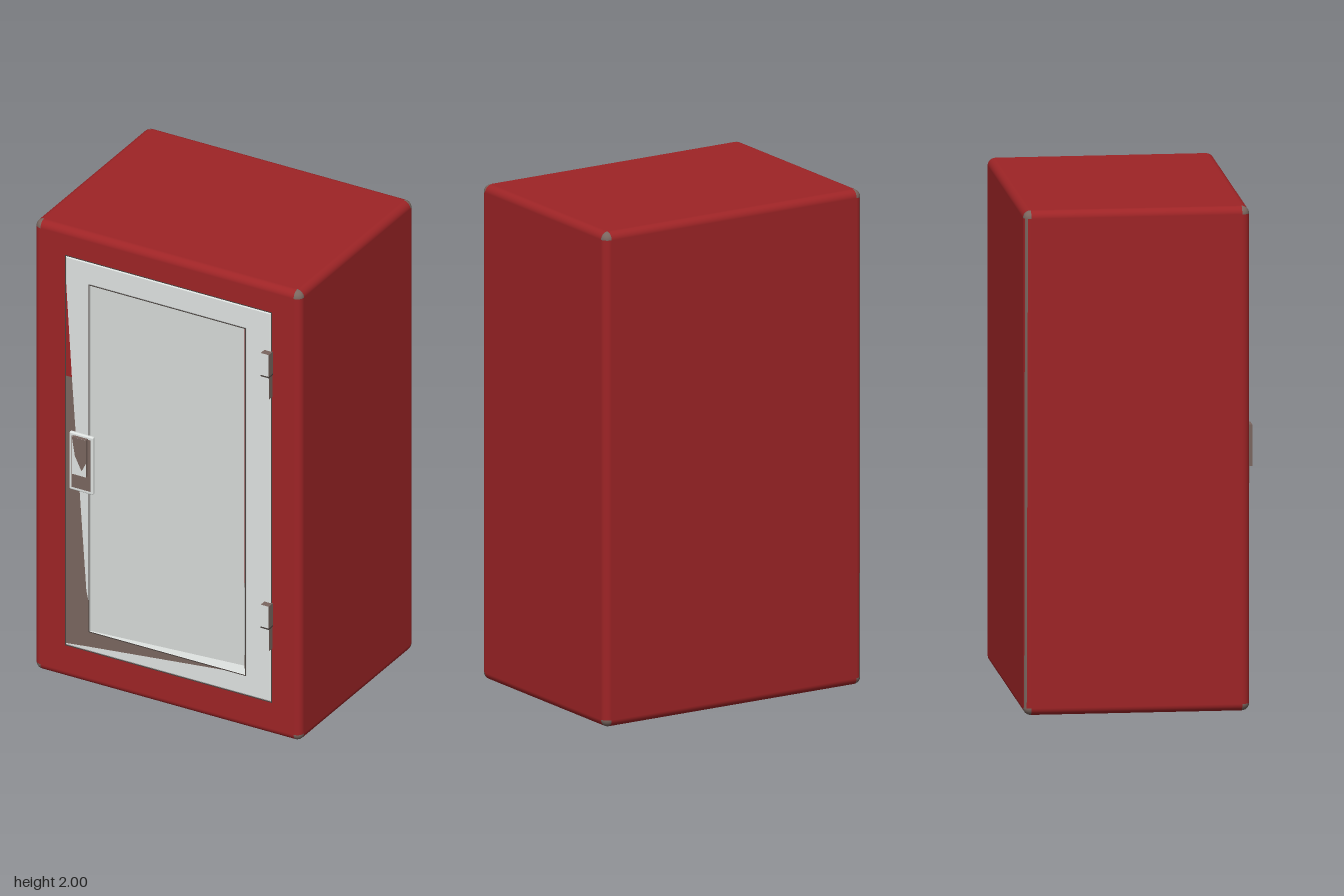
import * as THREE from 'three';
import { RoundedBoxGeometry } from 'three/addons/geometries/RoundedBoxGeometry.js';

const mat = (name, color, side = THREE.FrontSide) => {
  const m = new THREE.MeshStandardMaterial({ color, side });
  m.name = name;
  return m;
};

export function createModel() {
  const red = mat('red paint', 0x9e2426);
  const pale = mat('pale grey metal', 0xe0e4e2);
  const paneGrey = mat('pane grey', 0xd6dad7);
  const brown = mat('worn brown metal', 0x7a665f);
  const dark = mat('dark trim', 0x4a423f);

  const root = new THREE.Group();
  root.name = 'cabinet';
  const add = (name, geo, material, x = 0, y = 0, z = 0, parent = root) => {
    const m = new THREE.Mesh(geo, material);
    m.name = name;
    m.position.set(x, y, z);
    parent.add(m);
    return m;
  };
  const rectPath = (P, x0, y0, x1, y1) => {
    const p = new P();
    p.moveTo(x0, y0).lineTo(x1, y0).lineTo(x1, y1).lineTo(x0, y1).closePath();
    return p;
  };
  const polygon = pts => new THREE.ShapeGeometry(new THREE.Shape(pts.map(p => new THREE.Vector2(...p))));
  // Flat four-cornered face, corners counter-clockwise
  const quad = (a, b, c, d) => {
    const g = new THREE.BufferGeometry();
    g.setAttribute('position', new THREE.Float32BufferAttribute([...a, ...b, ...c, ...a, ...c, ...d], 3));
    g.computeVertexNormals();
    return g;
  };

  const W = 1.2, H = 2, zBack = -0.46, zFront = 0.428, R = 0.03;
  const D = zFront - zBack, zMid = (zFront + zBack) / 2;
  const outer = [-0.455, 0.15, 0.47, 1.88], inner = [-0.345, 0.24, 0.355, 1.78];

  // Cabinet shell: front face left open, corners and one back edge worn
  const shell = new RoundedBoxGeometry(W, H, D, 4, R);
  shell.clearGroups();
  const pos = shell.attributes.position;
  for (let i = 0; i < pos.count; i += 3) {
    const c = [0, 1, 2].map(k => (pos.getComponent(i, k) + pos.getComponent(i + 1, k) + pos.getComponent(i + 2, k)) / 3);
    if (c[2] > D / 2 - 1e-5) continue;
    const nx = Math.abs(c[0]) > W / 2 - R, ny = Math.abs(c[1]) > H / 2 - R, nz = Math.abs(c[2]) > D / 2 - R;
    const backEdge = c[0] < -W / 2 + R * 0.5 && c[2] < -D / 2 + R * 0.5;
    shell.addGroup(i, 3, (nx && ny && nz) || backEdge ? 1 : 0);
  }
  add('shell', shell, [red, brown], 0, H / 2, zMid);

  // Front panel around the door opening
  const panel = rectPath(THREE.Shape, -W / 2 + R, R, W / 2 - R, H - R);
  panel.holes.push(rectPath(THREE.Path, ...outer));
  add('frontPanel', new THREE.ShapeGeometry(panel), red, 0, 0, zFront);

  // Door frame with a slim bevel
  const b = 0.005;
  const frame = rectPath(THREE.Shape, outer[0] + b, outer[1] + b, outer[2] - b, outer[3] - b);
  frame.holes.push(rectPath(THREE.Path, inner[0] - b, inner[1] - b, inner[2] + b, inner[3] + b));
  add('doorFrame', new THREE.ExtrudeGeometry(frame, {
    depth: 0.064, bevelEnabled: true, bevelThickness: 0.003, bevelSize: b, bevelSegments: 1,
  }), pale, 0, 0, 0.365);

  // Door pane, leaning deeper towards the hinge side
  const [x0, y0, x1, y1] = inner, xd = 0.315, zd = 0.37, zf = 0.43;
  add('doorPane', quad([x0, y0, zf - 0.003], [xd, y0, zd], [xd, y1, zd], [x0, y1, zf - 0.003]), paneGrey);

  // Slanted reveal beside the pane, in coloured lengths
  for (const [lo, hi, m] of [[y0, 0.3, brown], [0.3, 0.6, pale], [0.6, 0.62, brown], [0.62, y1, red]])
    add('reveal', quad([xd, lo, zd], [x1, lo, zf], [x1, hi, zf], [xd, hi, zd]), m);

  // Worn and red paint patches on the door frame
  add('wornSide', polygon([[-0.452, 1.35], [-0.452, 0.16], [-0.345, 0.172], [-0.345, 0.35], [-0.36, 0.42], [-0.425, 1.35]]), brown, 0, 0, 0.4335);
  add('wornBottom', polygon([[-0.345, 0.172], [0.3, 0.24], [-0.345, 0.24]]), brown, 0, 0, 0.4335);
  add('redPatch', polygon([[-0.452, 1.35], [-0.425, 1.35], [-0.452, 1.78]]), red, 0, 0, 0.4335);

  // Dark seam lines round the frame and the pane
  for (const [name, [a, c, d, e], z] of [['frameSeam', outer, 0.4295], ['paneSeam', inner, 0.434]]) {
    const t = 0.004;
    const s = rectPath(THREE.Shape, a - t, c - t, d + t, e + t);
    s.holes.push(rectPath(THREE.Path, a, c, d, e));
    add(name, new THREE.ShapeGeometry(s), dark, 0, 0, z);
  }

  // Latch: rimmed back plate and raised lever
  const latch = new THREE.Group();
  latch.name = 'latch';
  root.add(latch);
  add('latchPlate', new RoundedBoxGeometry(0.108, 0.256, 0.016, 2, 0.006), pale, -0.377, 0.985, 0.438, latch);
  add('latchInset', new THREE.BoxGeometry(0.084, 0.228, 0.004), brown, -0.377, 0.985, 0.4455, latch);
  const sides = [brown, brown, brown, brown, pale, brown];
  add('latchLever', new THREE.BoxGeometry(0.064, 0.165, 0.014), sides, -0.378, 1.02, 0.453, latch);
  add('latchGrip', polygon([[-0.032, 0.0825], [-0.018, 0], [0.012, -0.06], [0.032, -0.02], [0.032, 0.0825]]), brown, -0.378, 1.02, 0.4605, latch);

  // Two hinges, each with a wide upper and a narrow lower knuckle
  for (const y of [1.61, 0.49]) {
    const hinge = new THREE.Group();
    hinge.name = 'hinge';
    hinge.position.set(0.459, y, 0.445);
    root.add(hinge);
    add('upperKnuckle', new THREE.BoxGeometry(0.036, 0.1, 0.032), sides, 0, 0.05, 0, hinge);
    add('lowerKnuckle', new THREE.BoxGeometry(0.026, 0.1, 0.028), sides, 0.004, -0.05, -0.001, hinge);
    add('pinGap', new THREE.BoxGeometry(0.037, 0.006, 0.033), dark, 0, 0, 0, hinge);
  }
  return root;
}
